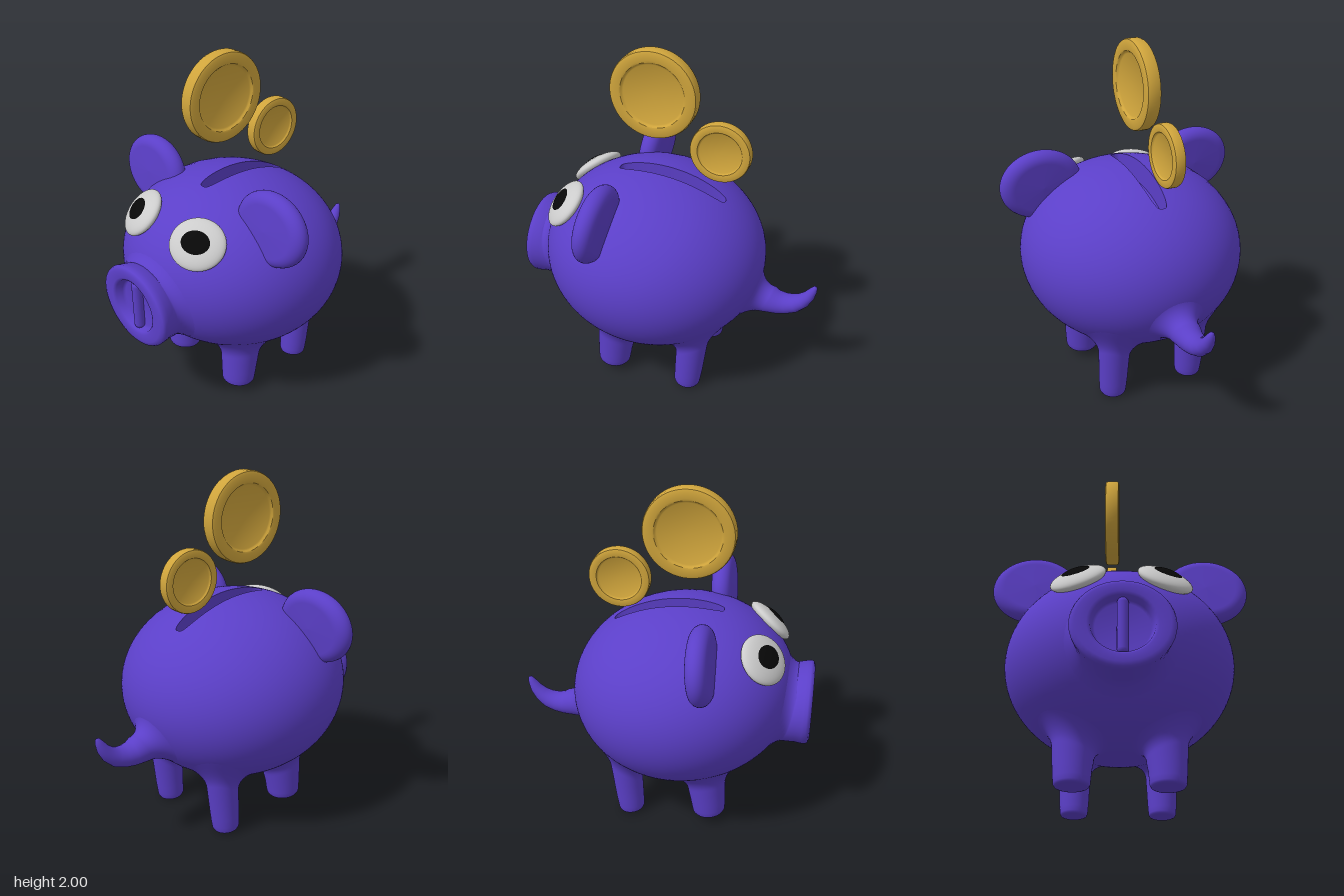
import * as THREE from 'three';
import { toCreasedNormals } from 'three/addons/utils/BufferGeometryUtils.js';

const V = (x, y, z) => new THREE.Vector3(x, y, z);
const mat = (color, roughness = 0.6) => new THREE.MeshStandardMaterial({ color, roughness });
const skin = mat(0x5b3fc8), gold = mat(0xd0a53c), white = mat(0xe6e6e6), black = mat(0x080808);

// Body ellipsoid radii: horizontal and vertical
const RH = 0.652, RV = 0.53;

// Joins closed rings of points into a smooth skin
function loft(rings) {
  const n = rings[0].length, pos = [], idx = [];
  rings.forEach(r => r.forEach(p => pos.push(p.x, p.y, p.z)));
  for (let i = 0; i < rings.length - 1; i++) {
    for (let j = 0; j < n; j++) {
      const k = (j + 1) % n, a = i * n + j, b = i * n + k, c = a + n, d = b + n;
      idx.push(a, b, c, b, d, c);
    }
  }
  const g = new THREE.BufferGeometry();
  g.setAttribute('position', new THREE.Float32BufferAttribute(pos, 3));
  g.setIndex(idx);
  g.computeVertexNormals();
  return g;
}

const ringOf = (n, f) => Array.from({ length: n }, (_, j) => f((j / n) * Math.PI * 2));

// Directions a limb can grow in: u, v across the limb, h along it
const DOWN = { map: (u, v, h) => V(u, -h, v), rv: RH, rh: RV };
const FRONT = { map: (u, v, h) => V(u, v, h), rv: RV, rh: RH };
const BACK = { map: (u, v, h) => V(-u, v, -h), rv: RV, rh: RH };

// Limb with a round fillet onto the body; stem rows are [ru, rv, v, h, tilt]
function limb(dir, cu, cv, ru, rv, fillet, rise, stem) {
  const rings = [], steps = 10;
  for (let i = 0; i <= steps; i++) {
    const a = (i / steps) * Math.PI / 2, w = fillet * (1 - Math.sin(a));
    rings.push(ringOf(40, t => {
      const u = cu + (ru + w) * Math.cos(t), v = cv + (rv + w) * Math.sin(t);
      const h = dir.rh * Math.sqrt(Math.max(0, 1 - (u / RH) ** 2 - (v / dir.rv) ** 2));
      return dir.map(u, v, h - 0.003 + rise * (1 - Math.cos(a)));
    }));
  }
  for (const [su, sv, v, h, tilt = 0] of stem) {
    rings.push(ringOf(40, t => dir.map(
      cu + su * Math.cos(t),
      v + sv * Math.sin(t) * Math.cos(tilt),
      h - sv * Math.sin(t) * Math.sin(tilt))));
  }
  return loft(rings);
}

// Body skin starting at the slot outline, and the recess below the slot
function bodyParts() {
  const n = 120, rows = 56, slotZ = -0.05;
  const pw = (v, e) => Math.sign(v) * Math.abs(v) ** e;
  const rim = t => [0.052 * pw(Math.cos(t), 0.55), slotZ + 0.32 * pw(Math.sin(t), 0.85)];
  const onBody = (th, ph) => V(
    RH * Math.sin(th) * Math.cos(ph), RV * Math.cos(th), RH * Math.sin(th) * Math.sin(ph));
  const bodyRings = [];
  for (let i = 0; i <= rows; i++) {
    const s = i / rows, blend = THREE.MathUtils.smoothstep(s, 0, 0.5);
    bodyRings.push(ringOf(n, t => {
      const [x, z] = rim(t), th0 = Math.asin(Math.hypot(x, z) / RH);
      let d = t - Math.atan2(z, x);
      d = Math.atan2(Math.sin(d), Math.cos(d));
      return onBody(th0 + (Math.PI - th0) * s, t - d * (1 - blend));
    }));
  }
  const top = bodyRings[0].map(p => p.clone());
  const low = top.map(p => V(p.x, p.y - 0.13, p.z));
  const mid = low.map(p => V(0, p.y, p.z));
  return [loft(bodyRings), toCreasedNormals(loft([mid, low, top]), 0.6)];
}

// Round slab with soft edges, facing +z
function slab(r, h, edge) {
  const pts = [];
  for (let i = 0; i <= 16; i++) {
    const a = -Math.PI / 2 + (i / 16) * Math.PI;
    pts.push(new THREE.Vector2(r - edge + edge * Math.cos(a), h * Math.sin(a)));
  }
  pts.unshift(new THREE.Vector2(0, -h * 1.1));
  pts.push(new THREE.Vector2(0, h * 1.1));
  return new THREE.LatheGeometry(pts, 48).rotateX(Math.PI / 2);
}

// Coin with a raised rim on both faces, facing +z
function coinGeometry(r, h) {
  const half = [[0, 0.62], [0.68, 0.62], [0.71, 0.72], [0.74, 0.95], [0.78, 1], [0.93, 1], [0.98, 0.88], [1, 0.6]];
  const pts = [...half.map(([a, b]) => [a, -b]), ...half.slice().reverse()]
    .map(([a, b]) => new THREE.Vector2(a * r, b * h));
  return toCreasedNormals(new THREE.LatheGeometry(pts, 64), 0.6).rotateX(Math.PI / 2);
}

export function createModel() {
  const model = new THREE.Group();
  const add = (parent, name, geometry, material) => {
    const m = new THREE.Mesh(geometry, material);
    m.name = name;
    parent.add(m);
    return m;
  };

  // Pig: built facing +z around the body centre, then turned and tipped nose-up
  const pig = new THREE.Group();
  pig.name = 'pig';
  pig.position.set(-0.015, 0.775, -0.022);
  pig.rotation.set(-0.09, -0.945, 0, 'YXZ');
  model.add(pig);

  const [bodyGeo, slotGeo] = bodyParts();
  add(pig, 'body', bodyGeo, skin);
  add(pig, 'slotRecess', slotGeo, skin);

  // Snout with a dished nose and a bar between the nostrils
  add(pig, 'snout', limb(FRONT, 0, -0.12, 0.25, 0.222, 0.07, 0.05, [
    [0.256, 0.228, -0.12, 0.66, -0.06], [0.265, 0.235, -0.12, 0.70, -0.1],
    [0.268, 0.237, -0.12, 0.722, -0.1], [0.26, 0.23, -0.12, 0.738, -0.1],
    [0.238, 0.21, -0.12, 0.746, -0.1], [0.18, 0.17, -0.12, 0.745, -0.1],
    [0.163, 0.155, -0.12, 0.735, -0.1], [0.152, 0.145, -0.12, 0.70, -0.1],
    [0.14, 0.135, -0.12, 0.685, -0.1], [0, 0, -0.12, 0.682, -0.1],
  ]), skin);
  const bar = add(pig, 'nostrilBar', new THREE.CapsuleGeometry(0.03, 0.25, 6, 16), skin);
  bar.position.set(0, -0.12, 0.705);
  bar.rotation.x = 0.1;

  // Curled tail
  add(pig, 'tail', limb(BACK, 0, -0.15, 0.085, 0.08, 0.1, 0.1, [
    [0.074, 0.068, -0.152, 0.77, 0.05], [0.066, 0.06, -0.145, 0.82, 0.25],
    [0.058, 0.053, -0.125, 0.87, 0.55], [0.048, 0.044, -0.09, 0.91, 0.9],
    [0.036, 0.034, -0.045, 0.94, 1.15], [0.024, 0.023, 0.0, 0.957, 1.25],
    [0.012, 0.012, 0.026, 0.965, 1.25], [0, 0, 0.032, 0.967, 1.25],
  ]), skin);

  for (const side of [1, -1]) {
    const which = side > 0 ? 'left' : 'right';

    // Legs
    for (const [name, z, r] of [['FrontLeg', 0.125, 0.1], ['BackLeg', -0.355, 0.08]]) {
      const stem = [[1.04, 0.65], [1, 0.7], [0.97, 0.728], [0.9, 0.739], [0.78, 0.743], [0, 0.743]]
        .map(([k, h]) => [k * r, k * r, z, h]);
      add(pig, which + name, limb(DOWN, side * 0.25, z, r * 1.12, r * 1.12, 0.1, 0.1, stem), skin);
    }

    // Ears
    const ear = add(pig, which + 'Ear', slab(0.22, 0.058, 0.065), skin);
    ear.position.set(side * 0.485, 0.4, 0.207);
    ear.scale.set(1.1, 0.94, 1);

    // Eyes
    const eye = new THREE.Group();
    eye.name = which + 'Eye';
    eye.position.set(side * 0.235, 0.293, 0.5);
    eye.lookAt(side * (0.235 + 0.556), 0.293 + 1.043, 0.5 + 1.183);
    pig.add(eye);
    const ball = new THREE.SphereGeometry(1, 40, 24);
    add(eye, 'eyeWhite', ball, white).scale.set(0.16, 0.145, 0.05);
    const pupil = add(eye, 'pupil', ball, black);
    pupil.scale.set(0.092, 0.076, 0.028);
    pupil.position.z = 0.03;
  }

  // Coins falling towards the slot
  for (const [name, r, h, x, y, z] of [
    ['largeCoin', 0.256, 0.042, -0.07, 1.744, -0.04],
    ['smallCoin', 0.175, 0.032, 0.25, 1.456, -0.265],
  ]) {
    const coin = add(model, name, coinGeometry(r, h), gold);
    coin.position.set(x, y, z);
    coin.rotation.y = Math.PI / 2 - 0.975;
  }
  return model;
}
